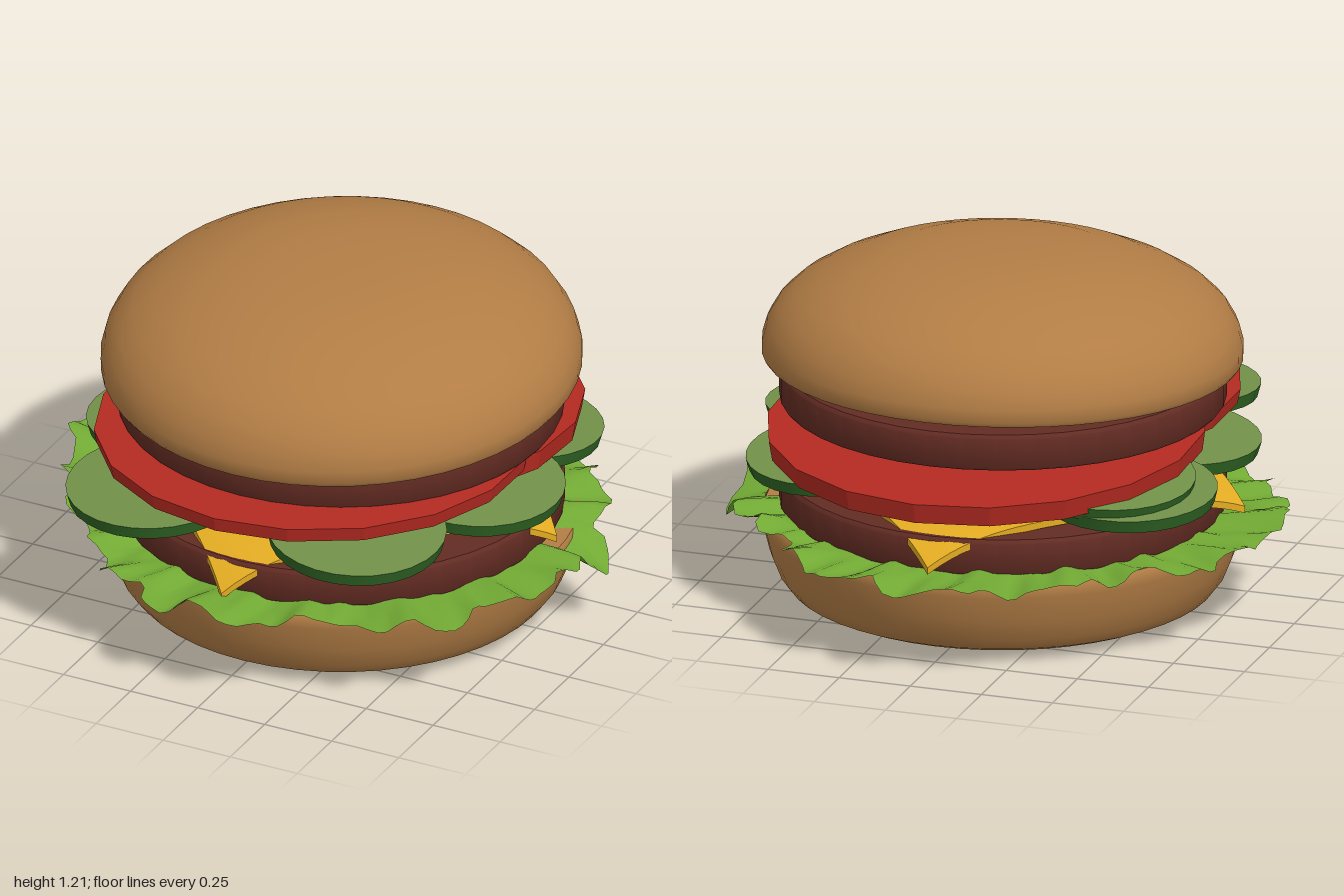
import * as THREE from 'three';
import { toCreasedNormals } from 'three/addons/utils/BufferGeometryUtils.js';

const paint = (name, color, side = THREE.FrontSide) => {
  const m = new THREE.MeshStandardMaterial({ color, side });
  m.name = name;
  return m;
};

export function createModel() {
  const bun = paint('bun brown', 0xb27d45);
  const meat = paint('patty brown', 0x632c23);
  const tomatoRed = paint('tomato red', 0xb42a21);
  const flesh = paint('pickle flesh', 0x719148);
  const skin = paint('pickle skin', 0x2f6424);
  const cheeseYellow = paint('cheese yellow', 0xe2ab22);
  const leaf = paint('lettuce green', 0x72aa34, THREE.DoubleSide);

  const model = new THREE.Group();
  const add = (name, geometry, material, x, y, z, rx = 0, rz = 0) => {
    const mesh = new THREE.Mesh(geometry, material);
    mesh.name = name;
    mesh.position.set(x, y, z);
    mesh.rotation.set(rx, 0, rz);
    model.add(mesh);
    return mesh;
  };
  const lathe = (pts, sides, crease = 0.7) =>
    toCreasedNormals(new THREE.LatheGeometry(pts.map(p => new THREE.Vector2(...p)), sides), crease);
  const CX = 0.025;

  // Buns: the crown leans a little towards the front
  add('bottomBun', lathe([[0, 0], [0.46, 0.002], [0.67, 0.025], [0.715, 0.045], [0.745, 0.085],
    [0.775, 0.16], [0.797, 0.25], [0.8, 0.285], [0.79, 0.3], [0, 0.3]], 48), bun, CX, 0, 0);
  add('topBun', lathe([[0, 0], [0.79, 0], [0.8, 0.015], [0.8, 0.06], [0.785, 0.115], [0.75, 0.175],
    [0.69, 0.232], [0.61, 0.28], [0.5, 0.326], [0.37, 0.362], [0.22, 0.383], [0.1, 0.388], [0, 0.389]], 48),
    bun, CX, 0.82, 0, 0.044);

  // Patties
  for (const [name, y] of [['lowerPatty', 0.31], ['upperPatty', 0.68]]) {
    add(name, lathe([[0, 0], [0.735, 0], [0.743, 0.01], [0.743, 0.112], [0.733, 0.124], [0, 0.124]], 40),
      meat, CX, y, 0.005);
  }

  // Tomato slices: one pushed forward, one sagging at the back
  const slice = t => toCreasedNormals(new THREE.CylinderGeometry(0.735, 0.725, t, 18), 0.2);
  add('frontTomato', slice(0.05), tomatoRed, CX, 0.655, 0.195, -0.012);
  add('backTomato', slice(0.07), tomatoRed, CX, 0.612, -0.16, -0.062);

  // Pickle slices: x, y, z, tilt about x, tilt about z
  const pickle = toCreasedNormals(new THREE.CylinderGeometry(0.3, 0.29, 0.045, 28), 0.7);
  // toCreasedNormals drops the index but keeps the side, top and bottom groups
  [
    [-0.35, 0.56, 0.62, 0.06, 0.03],
    [0.385, 0.562, 0.595, 0.05, -0.06],
    [0.58, 0.553, 0.11, 0.02, -0.06],
    [-0.52, 0.55, 0.14, 0.0, 0.08],
    [-0.535, 0.528, -0.345, -0.07, 0.03],
    [-0.46, 0.565, -0.35, -0.07, 0.06],
    [0.49, 0.535, -0.345, -0.09, -0.05],
  ].forEach(([x, y, z, rx, rz], i) => add('pickle' + (i + 1), pickle, [skin, flesh, flesh], x, y, z, rx, rz));

  // Cheese: a square turned 45 degrees whose corners sag over the patty
  const cheese = new THREE.BoxGeometry(1.2, 0.024, 1.2, 28, 1, 28);
  cheese.rotateY(Math.PI / 4);
  const cp = cheese.attributes.position;
  for (let i = 0; i < cp.count; i++) {
    const x = cp.getX(i), z = cp.getZ(i), r = Math.hypot(x, z);
    const over = Math.max(0, r - 0.6);
    const limp = z > Math.abs(x) ? 1.9 : x < -Math.abs(z) ? 1.0 : 1.4;
    const pull = 1 - over * 0.1;
    cp.setXYZ(i, x * pull, cp.getY(i) - over * over * limp - over * 0.06 + 0.012 * z, z * pull);
  }
  cheese.computeVertexNormals();
  add('cheese', toCreasedNormals(cheese, 0.8), cheeseYellow, 0, 0.458, 0);

  // Lettuce: a ruffled disc with a ragged rim and one hanging tip on the left
  const reach = [0.98, 0.9, 0.97, 0.95, 0.95, 0.9, 0.85, 0.97, 0.98, 0.93, 0.86, 0.95, 0.96, 0.88, 0.86, 0.93];
  const hash = n => { const s = Math.sin(n * 127.1 + 3.7) * 43758.5453; return s - Math.floor(s); };
  const N = 192, RINGS = 8, pos = [], index = [];
  const bump = (a, at, width) => {
    const d = Math.atan2(Math.sin(a - at), Math.cos(a - at)) / width;
    return Math.exp(-d * d);
  };
  for (let j = 0; j <= RINGS; j++) {
    const t = j / RINGS;
    for (let i = 0; i < N; i++) {
      const a = i / N * Math.PI * 2, k = i / N * 16, f = k % 1, s = f * f * (3 - 2 * f);
      let rim = reach[Math.floor(k)] * (1 - s) + reach[(Math.floor(k) + 1) % 16] * s;
      rim += 0.02 * Math.sin(a * 23) + 0.035 * (hash(Math.floor(i / 2)) - 0.5);
      const r = 0.55 + (rim - 0.55) * t;
      const wave = 0.016 * Math.sin(a * 17 + t * 2) + 0.012 * Math.sin(a * 31 - t * 3) + 0.006 * Math.sin(a * 47 + t * 5);
      const lift = 0.035 * bump(a, 0, 0.1) + 0.03 * bump(a, 4.75, 0.2);
      const y = 0.313 + t * (0.012 + wave + lift * t) - 0.12 * t ** 3 * bump(a, 1.72, 0.11);
      pos.push(Math.sin(a) * r, y, Math.cos(a) * r);
      if (j < RINGS) {
        const p = j * N + i, q = j * N + (i + 1) % N;
        index.push(p, p + N, q, q, p + N, q + N);
      }
    }
  }
  const lettuce = new THREE.BufferGeometry();
  lettuce.setAttribute('position', new THREE.Float32BufferAttribute(pos, 3));
  lettuce.setIndex(index);
  lettuce.computeVertexNormals();
  add('lettuce', lettuce, leaf, 0, 0, 0);

  return model;
}
